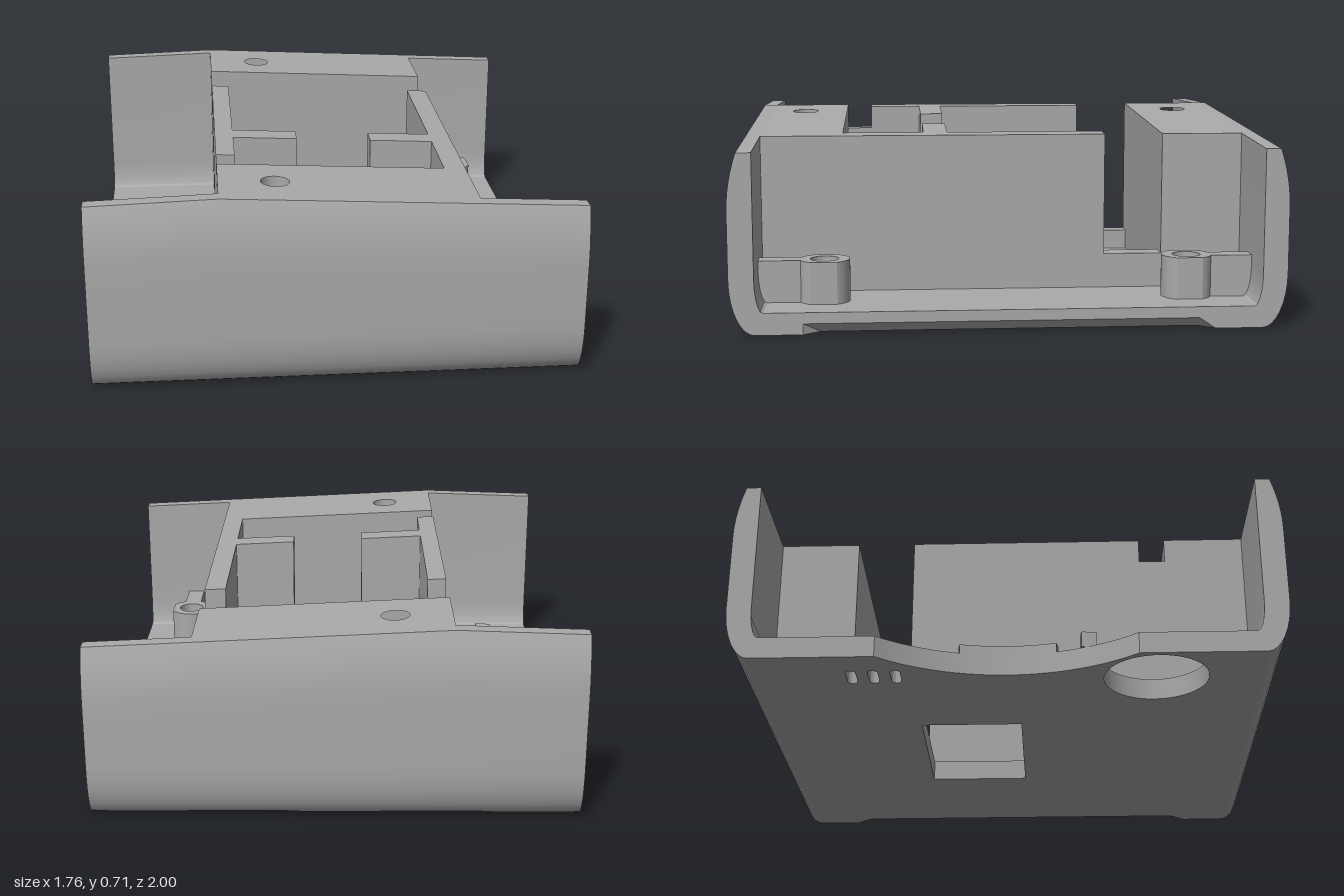
import * as THREE from 'three';
import { toCreasedNormals } from 'three/addons/utils/BufferGeometryUtils.js';

const X0 = -0.885, X1 = 0.88, PEAK_X = -0.42, PEAK_Y = 0.715, FLOOR = 0.08;

// Height of the sloping top edge at x
const roof = x => x < PEAK_X
  ? PEAK_Y - 0.015 * (PEAK_X - x) / (PEAK_X - X0)
  : PEAK_Y - 0.065 * (x - PEAK_X) / (X1 - PEAK_X);

const shapeOf = pts => new THREE.Shape(pts.map(p => new THREE.Vector2(...p)));
const rect = (xa, xb, za, zb) => [[xa, za], [xb, za], [xb, zb], [xa, zb]];
const circle = (x, z, r) => new THREE.Path().absarc(x, z, r, 0, Math.PI * 2, true);

// Visit and change each vertex
function bend(geo, rule) {
  const p = geo.attributes.position, v = new THREE.Vector3();
  for (let i = 0; i < p.count; i++) {
    rule(v.fromBufferAttribute(p, i));
    p.setXYZ(i, v.x, v.y, v.z);
  }
  return geo;
}

// Plan shape (x, z) raised from y0 to y1
function slab(shape, y0, y1, steps = 1) {
  return new THREE.ExtrudeGeometry(shape, { depth: y1 - y0, steps, bevelEnabled: false, curveSegments: 24 })
    .rotateX(Math.PI / 2).translate(0, y1, 0);
}

// Plan shape raised from the floor to the sloping top
const toRoof = shape => bend(slab(shape, FLOOR, 0.6), v => { if (v.y > 0.5) v.y = roof(v.x); });

export function createModel() {
  const group = new THREE.Group();
  const grey = new THREE.MeshStandardMaterial({ color: 0xaaaaaa });
  grey.name = 'grey plastic';
  const add = (name, geo) => {
    const mesh = new THREE.Mesh(toCreasedNormals(geo, 0.5), grey);
    mesh.name = name;
    group.add(mesh);
  };

  // Floor with curved bite, window, round opening and vent slots
  const R = 0.72, cx = -1.435, bite = Math.acos((X0 - cx) / R);
  const floor = new THREE.Shape();
  floor.moveTo(X0, -0.88);
  for (const z of [-0.88, -0.74, -0.68, 0.68, 0.74, 0.88]) floor.lineTo(X1, z);
  floor.lineTo(X0, 0.88);
  floor.absarc(cx, 0, R, bite, -bite, true);
  floor.holes.push(shapeOf(rect(-0.26, 0.33, -0.35, 0.035)), circle(-0.675, 0.535, 0.19));
  for (const z of [-0.565, -0.485, -0.405]) {
    const slot = new THREE.Path();
    slot.absarc(-0.678, z, 0.018, -Math.PI / 2, Math.PI / 2, false);
    slot.absarc(-0.747, z, 0.018, Math.PI / 2, Math.PI * 1.5, false);
    floor.holes.push(slot);
  }
  // The lower right edge is bevelled
  add('floor', bend(slab(floor, 0, FLOOR, 2), v => {
    if (v.y < 0.01 && v.x > 0.87 && Math.abs(v.z) < 0.7) v.x -= 0.05;
  }));

  // Front and back walls, rounded below and at the top edge
  const stations = [X0, PEAK_X, X1];
  for (const s of [1, -1]) {
    const prof = [[0.88, 0], [0.91, 0]];
    for (let i = 1; i <= 8; i++) {
      const a = i / 8 * Math.PI / 2;
      prof.push([0.91 + 0.09 * Math.sin(a), 0.2 * (1 - Math.cos(a))]);
    }
    for (let i = 0; i <= 6; i++) {
      const t = i / 6;
      prof.push([1 - 0.036 * t * t, PEAK_Y - 0.21 * (1 - t)]);
    }
    prof.push([0.91, PEAK_Y]);
    for (let i = 0; i <= 5; i++) {
      const a = i / 5 * Math.PI / 2;
      prof.push([0.88 + 0.03 * Math.cos(a), 0.2 - 0.12 * Math.sin(a)]);
    }
    const geo = new THREE.ExtrudeGeometry(shapeOf(prof.map(([z, y]) => [-s * z, y])),
      { depth: 2, steps: 2, bevelEnabled: false }).rotateY(Math.PI / 2);
    add(s > 0 ? 'frontWall' : 'backWall', bend(geo, v => {
      v.x = stations[Math.round(v.x)];
      if (v.y > 0.4) v.y += roof(v.x) - PEAK_Y;
    }));
  }

  for (const s of [1, -1]) {
    const side = s > 0 ? 'front' : 'back';
    // Solid block with a stepped screw hole
    const block = shapeOf(rect(-0.42, 0.5, s * 0.605, s * 0.915));
    block.holes.push(circle(-0.215, s * 0.778, 0.052));
    add(side + 'Block', toRoof(block));
    const sleeve = new THREE.Shape().absarc(-0.215, s * 0.778, 0.053, 0, Math.PI * 2);
    sleeve.holes.push(circle(-0.215, s * 0.778, 0.04));
    add(side + 'BlockSleeve', slab(sleeve, FLOOR, 0.66));

    // Screw post with flat sides, tied to the wall by a rib
    const z = s * 0.67, flat = Math.acos(0.08 / 0.093), post = new THREE.Shape();
    post.absarc(0.667, z, 0.093, flat, Math.PI - flat, false);
    post.absarc(0.667, z, 0.093, Math.PI + flat, -flat, false);
    post.holes.push(circle(0.667, z, 0.052));
    add(side + 'ScrewPost', slab(post, FLOOR, 0.235));
    const ring = new THREE.Shape().absarc(0.667, z, 0.053, 0, Math.PI * 2);
    ring.holes.push(circle(0.667, z, 0.037));
    add(side + 'ScrewPostSleeve', slab(ring, FLOOR, 0.2));
    add(side + 'ScrewPostRib', slab(shapeOf(rect(0.632, 0.702, s * 0.75, s * 0.915)), FLOOR, 0.235));
  }

  // Compartment side walls with their notches
  add('rightCompartmentWall', toRoof(shapeOf(rect(-0.42, -0.35, -0.385, 0.505))));
  add('rightWallBackSill', slab(shapeOf(rect(-0.42, -0.35, -0.605, -0.385)), FLOOR, 0.16));
  add('rightWallFrontSill', slab(shapeOf(rect(-0.42, -0.35, 0.505, 0.605)), FLOOR, 0.62));
  add('leftCompartmentWall', toRoof(shapeOf(rect(0.42, 0.5, -0.385, 0.605))));
  add('leftWallBackSill', slab(shapeOf(rect(0.42, 0.5, -0.605, -0.385)), FLOOR, 0.21));

  // Divider with a round-bottomed slot
  const divider = shapeOf([[-0.35, FLOOR], [0.42, FLOOR], [0.42, roof(0.42)], [0.18, roof(0.18)]]);
  divider.absarc(0.0375, 0.34, 0.1425, 0, -Math.PI, true);
  divider.lineTo(-0.105, roof(-0.105));
  divider.lineTo(-0.35, roof(-0.35));
  add('divider', new THREE.ExtrudeGeometry(divider, { depth: 0.09, bevelEnabled: false, curveSegments: 24 })
    .translate(0, 0, 0.21));

  // Raised lip along the bite, and tabs by the round opening
  const lip = new THREE.Shape();
  lip.absarc(cx, 0, R + 0.032, -0.245, 0.245, false);
  lip.absarc(cx, 0, R, 0.245, -0.245, true);
  add('biteLip', slab(lip, FLOOR, 0.115));
  add('openingTabBack', slab(shapeOf([[-0.775, 0.265], [-0.735, 0.26], [-0.705, 0.285], [-0.725, 0.315], [-0.77, 0.32]]), FLOOR, 0.14));
  add('openingTabFront', slab(shapeOf(rect(-0.708, -0.642, 0.722, 0.75)), FLOOR, 0.13));

  return group;
}
